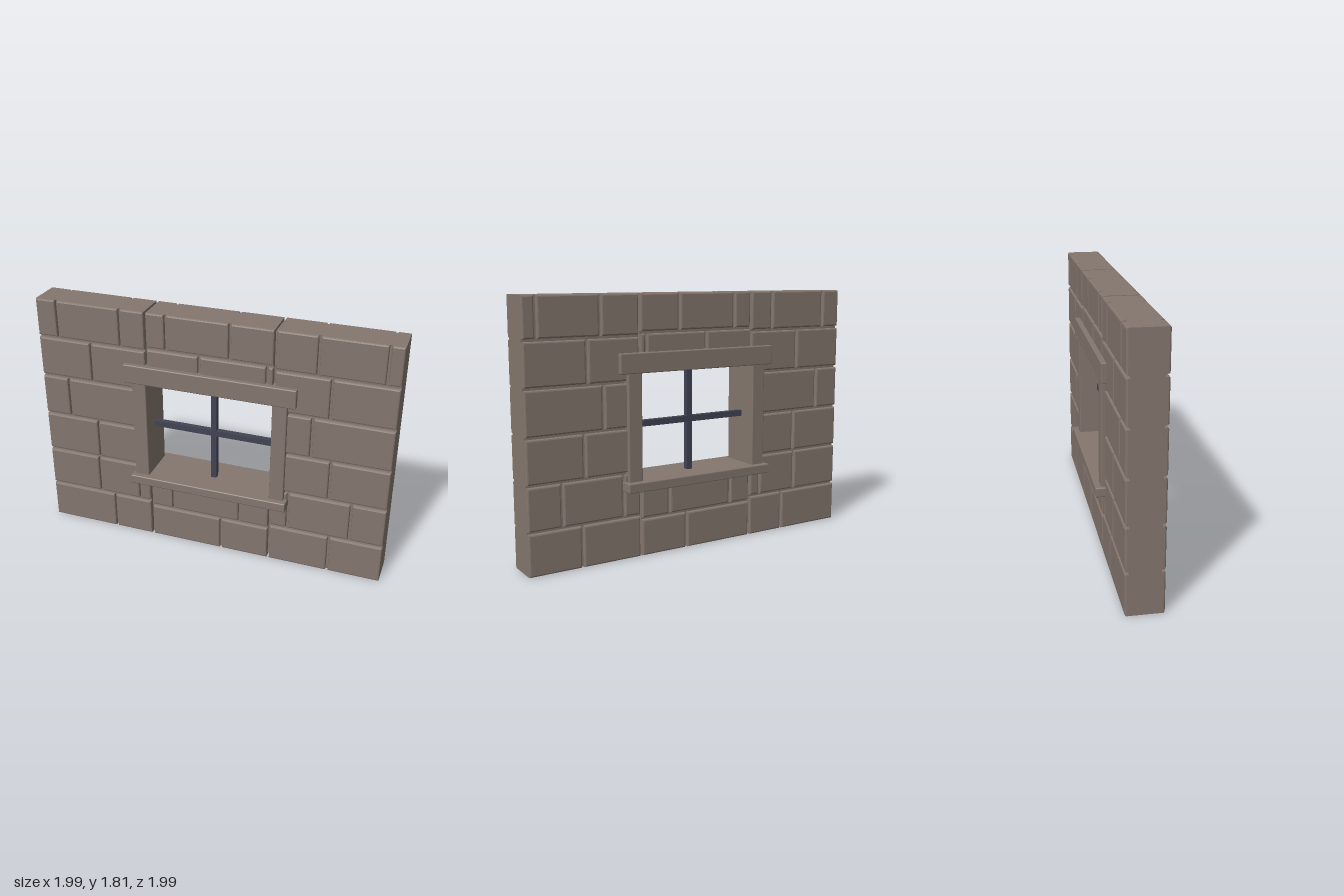
import * as THREE from 'three';
import { RoundedBoxGeometry } from 'three/addons/geometries/RoundedBoxGeometry.js';

const HALF = 1.287;    // half length of the wall
const TOP = 1.81;
const FACE = 0.127;    // half thickness over the stones
const CORE = 0.1;      // half thickness at the bottom of the joints
const JOINT = 0.46;    // where the middle section meets the sides
const GAP = 0.009;     // half width of a joint
const BEVEL = 0.011;

export function createModel() {
  const stone = new THREE.MeshStandardMaterial({ color: 0x84776e });
  stone.name = 'stone';
  const iron = new THREE.MeshStandardMaterial({ color: 0x414553 });
  iron.name = 'iron';

  const model = new THREE.Group();
  model.name = 'wallWithWindow';
  const wall = new THREE.Group();
  wall.name = 'diagonalWall';
  wall.rotation.y = -Math.PI / 4;
  model.add(wall);

  // Box from its limits along the wall and in height, centred in depth
  function block(name, x0, x1, y0, y1, halfDepth, material = stone, radius = 0.008) {
    const w = x1 - x0, h = y1 - y0;
    const geometry = radius
      ? new RoundedBoxGeometry(w, h, halfDepth * 2, 1, radius)
      : new THREE.BoxGeometry(w, h, halfDepth * 2);
    const mesh = new THREE.Mesh(geometry, material);
    mesh.name = name;
    mesh.position.set((x0 + x1) / 2, (y0 + y1) / 2, 0);
    wall.add(mesh);
  }

  // Bevelled facing stone on both faces of the wall
  function facingStone(x0, x1, y0, y1) {
    const w = (x1 - x0) / 2 - GAP - BEVEL, h = (y1 - y0) / 2 - GAP - BEVEL;
    const shape = new THREE.Shape([
      new THREE.Vector2(-w, -h), new THREE.Vector2(w, -h),
      new THREE.Vector2(w, h), new THREE.Vector2(-w, h),
    ]);
    const depth = FACE - CORE - BEVEL + 0.005;
    const geometry = new THREE.ExtrudeGeometry(shape, {
      depth, bevelThickness: BEVEL, bevelSize: BEVEL, bevelSegments: 2,
    });
    for (const side of [1, -1]) {
      const mesh = new THREE.Mesh(geometry, stone);
      mesh.name = side > 0 ? 'frontStone' : 'backStone';
      mesh.position.set((x0 + x1) / 2, (y0 + y1) / 2, side * (FACE - BEVEL - depth));
      if (side < 0) mesh.rotation.y = Math.PI;
      wall.add(mesh);
    }
  }

  // Row of stones, split at the given joints
  function course(x0, x1, y0, y1, joints) {
    const edges = [x0, ...joints, x1];
    for (let i = 0; i < edges.length - 1; i++) facingStone(edges[i], edges[i + 1], y0, y1);
  }

  // Solid cores of the three sections
  const inner = JOINT + GAP;
  block('leftCore', inner, HALF, 0, TOP, CORE, stone, 0);
  block('rightCore', -HALF, -inner, 0, TOP, CORE, stone, 0);
  block('lowerCore', -JOINT + GAP, JOINT - GAP, 0, 0.5, CORE, stone, 0);
  block('upperCore', -JOINT + GAP, JOINT - GAP, 1.3, TOP, CORE, stone, 0);
  for (const x of [-JOINT, JOINT]) {
    block('jointFiller', x - 0.02, x + 0.02, 0.02, 0.52, CORE - 0.015, stone, 0);
    block('jointFiller', x - 0.02, x + 0.02, 1.3, TOP - 0.02, CORE - 0.015, stone, 0);
  }

  // Side sections: six courses each
  const levels = [-GAP, 0.295, 0.602, 0.912, 1.225, 1.53, TOP + GAP];
  const rightJoints = [[-0.764], [-0.88, -0.552], [-0.866], [-1.082], [-0.884], [-1.131, -0.65]];
  const leftJoints = [[0.905], [0.594, 1.046], [0.88], [0.735], [0.849], [0.75, 1.195]];
  for (let i = 0; i < 6; i++) {
    course(-HALF - GAP, -JOINT, levels[i], levels[i + 1], rightJoints[i]);
    course(JOINT, HALF + GAP, levels[i], levels[i + 1], leftJoints[i]);
  }

  // Middle section: courses below and above the window
  course(-JOINT, JOINT, -GAP, 0.265, [0.092]);
  course(-JOINT, JOINT, 0.265, 0.52, [-0.283, 0.233]);
  course(-JOINT, JOINT, 1.3, 1.55, [-0.071, 0.41]);
  course(-JOINT, JOINT, 1.55, TOP + GAP, [-0.311, 0.148]);

  // Window surround
  block('lintel', -0.625, 0.625, 1.282, 1.42, 0.162);
  block('sill', -0.59, 0.59, 0.475, 0.543, 0.196);
  block('leftJamb', JOINT, 0.565, 0.53, 1.295, 0.154);
  block('rightJamb', -0.565, -JOINT, 0.53, 1.295, 0.154);

  // Window bars
  block('uprightBar', -0.021, 0.021, 0.54, 1.285, 0.021, iron, 0);
  block('crossBar', -0.462, 0.462, 0.892, 0.935, 0.0205, iron, 0);

  return model;
}
